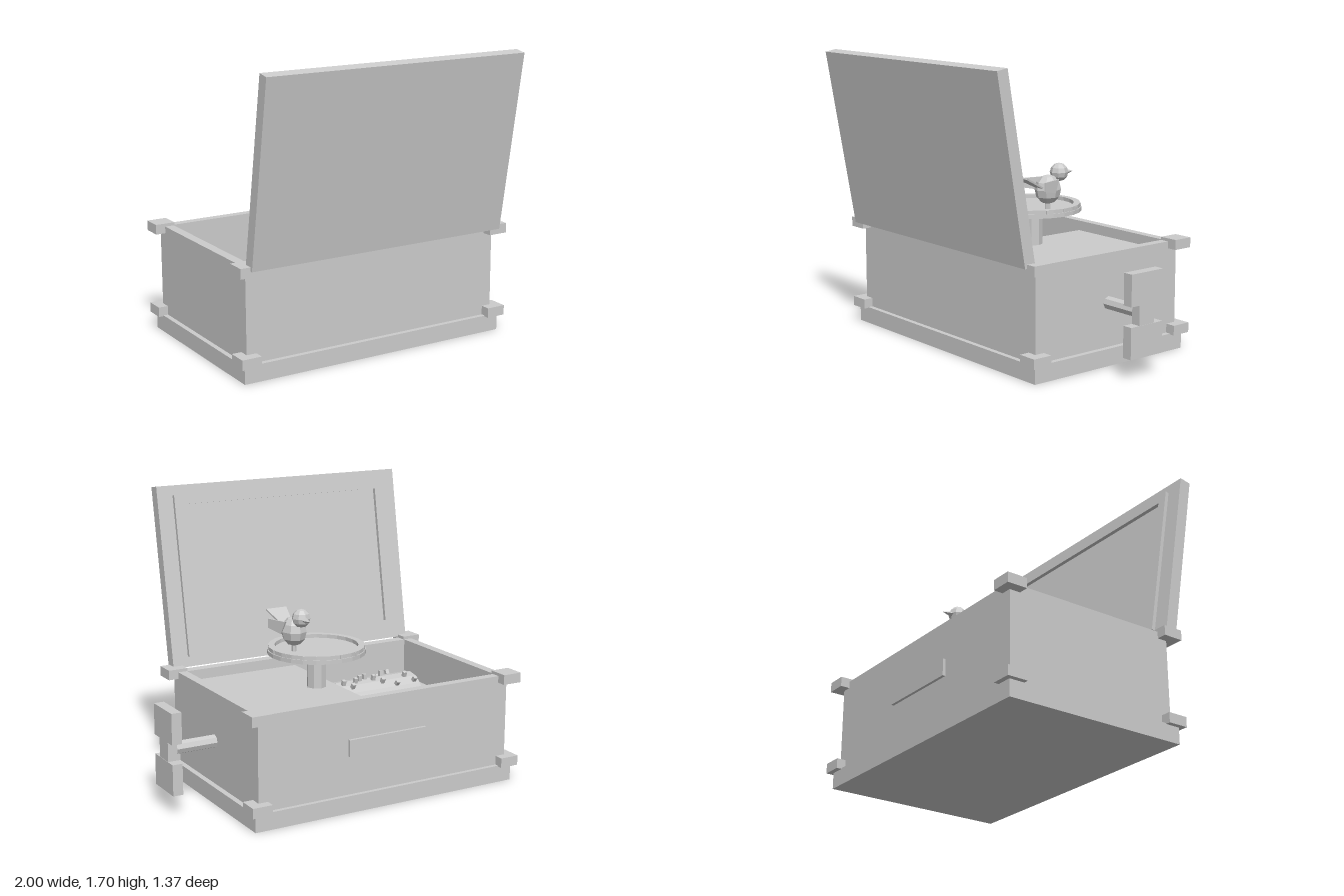
import * as THREE from 'three';

const CX = -0.125, CZ = -0.095; // centre of the case

export function createModel() {
  const model = new THREE.Group();
  model.name = 'musicBox';
  const grey = new THREE.MeshStandardMaterial({ color: 0xcccccc, flatShading: true });
  grey.name = 'light grey';

  const add = (name, geo, parent = model) => {
    const m = new THREE.Mesh(geo, grey);
    m.name = name;
    parent.add(m);
    return m;
  };
  // box given by its limits on each axis
  const box = (name, x0, x1, y0, y1, z0, z1, parent) => {
    const m = add(name, new THREE.BoxGeometry(x1 - x0, y1 - y0, z1 - z0), parent);
    m.position.set((x0 + x1) / 2, (y0 + y1) / 2, (z0 + z1) / 2);
    return m;
  };
  const rod = (name, r, x0, x1, y, z, sides) => {
    const m = add(name, new THREE.CylinderGeometry(r, r, x1 - x0, sides).rotateZ(Math.PI / 2));
    m.position.set((x0 + x1) / 2, y, z);
    return m;
  };
  const post = (name, r, y0, y1, x, z, sides) => {
    const m = add(name, new THREE.CylinderGeometry(r, r, y1 - y0, sides));
    m.position.set(x, (y0 + y1) / 2, z);
    return m;
  };
  const rect = (Kind, x0, x1, y0, y1) => {
    const s = new Kind();
    s.moveTo(x0, y0).lineTo(x1, y0).lineTo(x1, y1).lineTo(x0, y1).closePath();
    return s;
  };

  // case: plinth, floor and four walls
  box('plinth', -0.972, 0.722, 0, 0.1, -0.65, 0.46);
  box('floor', -0.888, 0.635, 0.1, 0.14, -0.572, 0.367);
  box('leftWall', 0.635, 0.69, 0.1, 0.64, -0.625, 0.43);
  box('rightWall', -0.943, -0.888, 0.1, 0.64, -0.625, 0.43);
  box('frontWall', -0.888, 0.635, 0.1, 0.64, 0.367, 0.43);
  box('backWall', -0.888, 0.635, 0.1, 0.64, -0.625, -0.572);
  box('backPlate', -0.375, 0.13, 0.323, 0.42, -0.642, -0.62);

  // corner caps, bottom and top
  for (const sx of [-1, 1]) for (const sz of [-1, 1]) for (const y of [0.095, 0.6]) {
    const x = CX + sx * 0.817, z = CZ + sz * 0.525;
    box('cornerCap', x - 0.059, x + 0.059, y, y + 0.058, z - 0.06, z + 0.06);
  }

  // open lid, leaning outwards, with a raised frame inside
  const lid = new THREE.Group();
  lid.name = 'lid';
  lid.position.set(CX, 0.646, 0.434);
  lid.rotation.x = THREE.MathUtils.degToRad(10);
  model.add(lid);
  box('lidPanel', -0.816, 0.816, 0, 1.07, 0, 0.07, lid);
  const frame = rect(THREE.Shape, -0.718, 0.718, 0.06, 1.012);
  frame.holes.push(rect(THREE.Path, -0.661, 0.661, 0.117, 0.955));
  add('lidFrame', new THREE.ExtrudeGeometry(frame, { depth: 0.022, bevelEnabled: false }), lid)
    .position.z = -0.022;

  // deck over the left half, carrying the turntable
  box('deck', -0.087, 0.635, 0.55, 0.58, -0.572, 0.367);
  const TX = 0.03, TZ = -0.1;
  post('turntablePost', 0.058, 0.58, 0.786, TX, TZ, 8);
  post('turntable', 0.286, 0.784, 0.808, TX, TZ, 24);
  const ring = [[0.242, 0.806], [0.28, 0.806], [0.28, 0.83], [0.242, 0.83], [0.242, 0.806]]
    .map(p => new THREE.Vector2(...p));
  add('turntableRim', new THREE.LatheGeometry(ring, 24)).position.set(TX, 0, TZ);
  for (let i = 0; i < 16; i++) {
    const a = (i / 16) * Math.PI * 2;
    const stud = add('rimStud', new THREE.BoxGeometry(0.016, 0.02, 0.012));
    stud.position.set(TX + 0.275 * Math.cos(a), 0.818, TZ + 0.275 * Math.sin(a));
    stud.rotation.y = -a;
  }

  // pinned drum on its axle
  const DX = -0.492, DY = 0.36, DZ = 0.11, R = 0.148;
  rod('drum', R, -0.765, -0.22, DY, DZ, 16);
  rod('drumAxle', 0.027, -0.82, -0.165, DY, DZ, 8);
  for (const s of [-1, 1]) {
    const x = DX + s * 0.332;
    box('bearing', x - 0.03, x + 0.03, 0.14, 0.42, DZ - 0.055, DZ + 0.055);
  }
  const pinAngles = [-37, 82, 31, 150, 7, -27, 88, 0, 95, -13, 160, 85];
  pinAngles.forEach((deg, col) => {
    for (const turn of [0, 170, 260]) {
      const a = THREE.MathUtils.degToRad(deg + turn);
      const pin = add('drumPin', new THREE.BoxGeometry(0.022, 0.04, 0.022));
      pin.position.set(-0.73 + col * 0.043, DY + (R + 0.01) * Math.cos(a), DZ + (R + 0.01) * Math.sin(a));
      pin.rotation.x = a;
    }
  });

  // comb
  box('combBase', -0.805, -0.18, 0.14, 0.355, -0.278, -0.144);
  for (let i = 0; i < 12; i++) {
    const x = -0.747 + i * 0.0462;
    box('combTooth', x - 0.015, x + 0.015, 0.355, 0.375, -0.203, -0.036);
  }

  // winding key on the left side
  rod('keyShaft', 0.038, 0.66, 0.95, 0.355, CZ - 0.005, 8);
  box('keyWaist', 0.942, 0.998, 0.29, 0.42, CZ - 0.055, CZ + 0.055);
  for (const y of [0.117, 0.41]) box('keyWing', 0.94, 1, y, y + 0.18, CZ - 0.117, CZ + 0.117);

  // bird, facing -z
  const bird = new THREE.Group();
  bird.name = 'bird';
  bird.position.set(0.175, 0, 0);
  model.add(bird);
  const perch = add('perch', new THREE.CylinderGeometry(0.014, 0.014, 0.05, 6), bird);
  perch.position.set(0, 0.828, -0.095);
  const body = add('body', new THREE.SphereGeometry(0.08, 8, 6), bird);
  body.scale.set(0.92, 1.08, 1);
  body.position.set(0, 0.926, -0.093);
  add('head', new THREE.SphereGeometry(0.054, 8, 6), bird).position.set(0, 1.018, -0.178);
  const beak = add('beak', new THREE.ConeGeometry(0.022, 0.07, 4).rotateX(-Math.PI / 2), bird);
  beak.position.set(0, 1.014, -0.25);

  const plate = (name, pts, t) => add(name, new THREE.ExtrudeGeometry(
    new THREE.Shape(pts.map(p => new THREE.Vector2(...p))),
    { depth: t, bevelEnabled: false }).translate(0, 0, -t / 2), bird);

  // tail: a fan that rises towards +z
  const tail = plate('tail', [[-0.033, 0], [0.033, 0], [0.066, 0.165], [-0.066, 0.165]], 0.01);
  tail.position.set(0, 0.942, -0.03);
  tail.rotation.x = Math.PI / 2 - 0.46;

  // wings: upright plates splayed out to the rear
  for (const s of [-1, 1]) {
    const wing = plate('wing', [[0, 0], [0.036, -0.075], [0.14, -0.055], [0.14, -0.002]], 0.01);
    wing.position.set(s * 0.066, 0.99, -0.118);
    wing.rotation.y = -Math.PI / 2 + s * 0.28;
  }
  return model;
}
